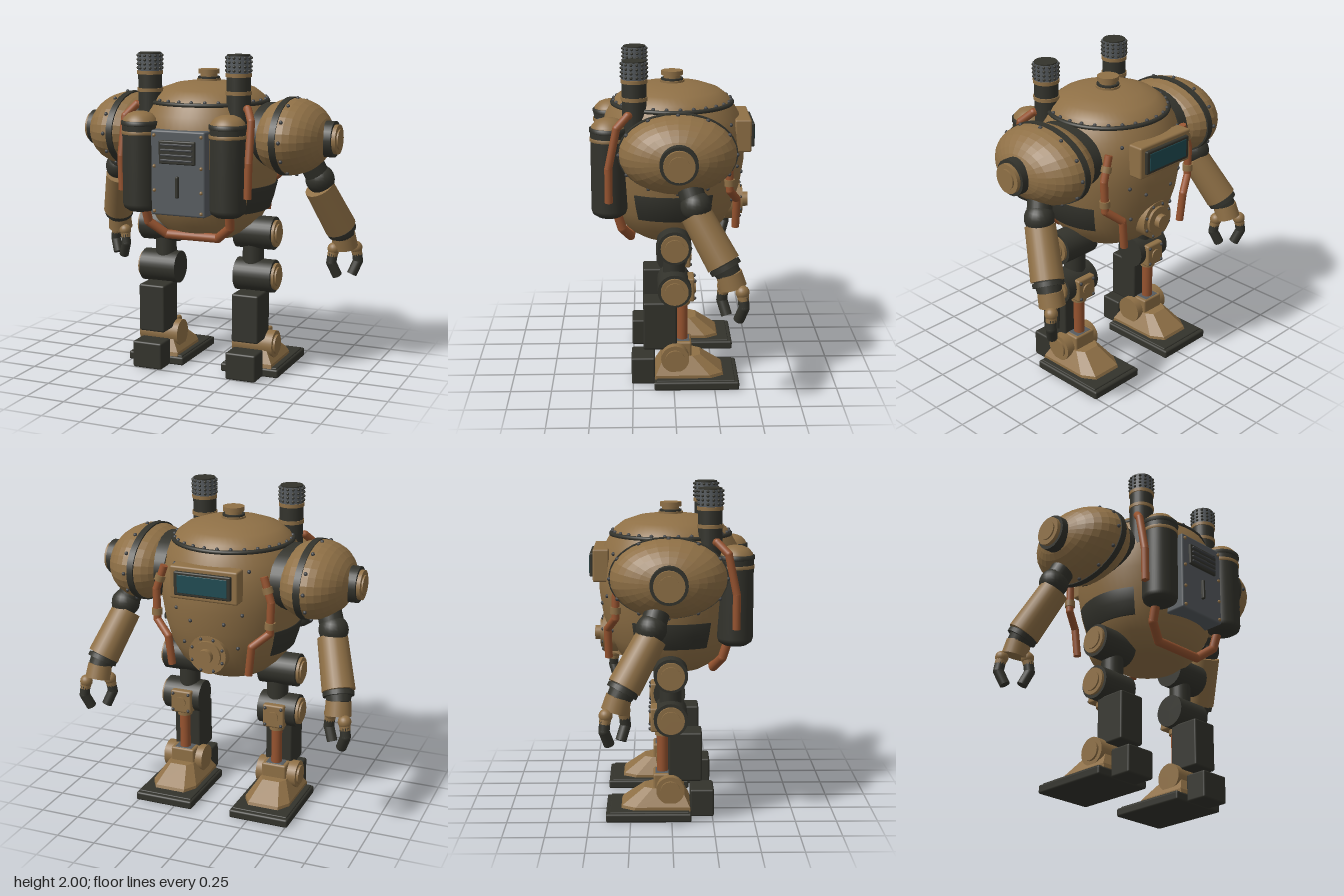
import * as THREE from 'three';
import { RoundedBoxGeometry } from 'three/addons/geometries/RoundedBoxGeometry.js';
import { ConvexGeometry } from 'three/addons/geometries/ConvexGeometry.js';

const mat = (name, color) => Object.assign(new THREE.MeshStandardMaterial({ color }), { name });

export function createModel() {
  const root = new THREE.Group();
  root.name = 'walkerRobot';
  const brass = mat('brass', 0x8f7046), dark = mat('dark iron', 0x33332c), copper = mat('copper', 0x96532f);
  const steel = mat('steel', 0x565b5f), glass = mat('teal glass', 0x1f4b52), stud = mat('stud grey', 0x414345);
  const V = (x, y, z) => new THREE.Vector3(x, y, z);
  const UP = V(0, 1, 0);

  const add = (name, geo, m, x = 0, y = 0, z = 0) => {
    const mesh = new THREE.Mesh(geo, m);
    mesh.name = name;
    mesh.position.set(x, y, z);
    root.add(mesh);
    return mesh;
  };
  const box = (name, m, x, y, z, w, h, d, r = 0.012) =>
    add(name, new RoundedBoxGeometry(w, h, d, 2, r), m, x, y, z);
  // Cylinder from point a to point b
  const rod = (name, m, a, b, r0, r1 = r0, seg = 24) => {
    const mid = a.clone().add(b).multiplyScalar(0.5);
    const mesh = add(name, new THREE.CylinderGeometry(r1, r0, a.distanceTo(b), seg), m, mid.x, mid.y, mid.z);
    mesh.quaternion.setFromUnitVectors(UP, b.clone().sub(a).normalize());
    return mesh;
  };
  const ball = (name, m, p, r) => add(name, new THREE.SphereGeometry(r, 20, 14), m, p.x, p.y, p.z);
  const rivet = (x, y, z, m = stud, r = 0.012) => add('rivet', new THREE.SphereGeometry(r, 8, 6), m, x, y, z);
  // Pipe with straight runs and round elbows
  const pipe = (name, m, pts, r) => pts.forEach((p, i) => {
    if (i) rod(name, m, pts[i - 1], p, r, r, 14);
    if (i && i < pts.length - 1) ball(name + 'Elbow', m, p, r);
  });
  const lathe = (name, m, pts, start = 0, len = Math.PI * 2) =>
    add(name, new THREE.LatheGeometry(pts.map(([r, y]) => new THREE.Vector2(r, y)), 56, start, len), m);
  const flat = (geo) => {
    const g = geo.toNonIndexed();
    g.computeVertexNormals();
    return g;
  };

  // Hull, lid and cap
  lathe('hull', brass, [[0, 0.86], [0.2, 0.862], [0.265, 0.9], [0.325, 0.96], [0.38, 1.06], [0.42, 1.2],
    [0.442, 1.34], [0.447, 1.44], [0.437, 1.54], [0.41, 1.63], [0.37, 1.7]]);
  lathe('lid', brass, [[0.365, 1.7], [0.345, 1.735], [0.29, 1.777], [0.2, 1.808], [0.1, 1.822], [0, 1.826]]);
  add('lidRim', new THREE.TorusGeometry(0.366, 0.014, 10, 56), dark, 0, 1.7, 0).rotation.x = Math.PI / 2;
  for (let i = 0; i < 28; i++) {
    const a = (i + 0.5) / 28 * Math.PI * 2;
    rivet(0.36 * Math.sin(a), 1.716, 0.36 * Math.cos(a));
  }
  rod('capBase', brass, V(0, 1.81, 0), V(0, 1.835, 0), 0.075);
  rod('capRing', dark, V(0, 1.835, 0), V(0, 1.847, 0), 0.068);
  rod('capNeck', brass, V(0, 1.845, 0), V(0, 1.87, 0), 0.052);
  rod('capTop', brass, V(0, 1.865, 0), V(0, 1.892, 0), 0.066);

  // Visor on the -z side
  box('visorFrame', brass, 0, 1.525, -0.425, 0.43, 0.2, 0.1);
  box('visorBezel', dark, 0, 1.525, -0.475, 0.36, 0.145, 0.04, 0.008);
  box('visorGlass', glass, 0, 1.525, -0.494, 0.315, 0.11, 0.008, 0.003);

  // Round hatch below the visor
  rod('hatchFlange', brass, V(0, 1.075, -0.33), V(0, 1.075, -0.42), 0.12);
  rod('hatchRing', brass, V(0, 1.075, -0.4), V(0, 1.075, -0.437), 0.09);
  rod('hatchHub', brass, V(0, 1.075, -0.42), V(0, 1.075, -0.472), 0.045);
  for (let i = 0; i < 8; i++) {
    const a = (i + 0.5) / 8 * Math.PI * 2;
    rivet(0.105 * Math.cos(a), 1.075 + 0.105 * Math.sin(a), -0.422, stud, 0.01);
  }

  // Steel service panel with vent and handle
  box('panel', steel, 0, 1.305, 0.4, 0.35, 0.51, 0.14);
  box('ventRecess', dark, 0, 1.432, 0.47, 0.235, 0.14, 0.03, 0.008);
  for (let i = 0; i < 4; i++) box('ventSlat', stud, 0, 1.386 + i * 0.031, 0.487, 0.205, 0.012, 0.02, 0.004);
  box('handle', dark, 0, 1.225, 0.475, 0.02, 0.13, 0.03, 0.008);
  for (const x of [-0.152, 0.152]) for (const y of [1.075, 1.2, 1.345, 1.53]) rivet(x, y, 0.472, brass, 0.011);

  // Copper loop under the panel
  pipe('lowerLoop', copper, [V(-0.28, 1.1, 0.35), V(-0.27, 0.97, 0.31), V(-0.17, 0.89, 0.26),
    V(0.17, 0.89, 0.26), V(0.27, 0.97, 0.31), V(0.28, 1.1, 0.35)], 0.028);

  for (const s of [-1, 1]) {
    const P = (x, y, z) => V(x * s, y, z);

    // Tank
    const tank = (name, m, pts) => lathe(name, m, pts).position.set(0.285 * s, 0, 0.385);
    tank('tank', dark, [[0, 1.05], [0.07, 1.055], [0.1, 1.075], [0.108, 1.1], [0.108, 1.59]]);
    tank('tankDome', brass, [[0.108, 1.585], [0.1, 1.615], [0.075, 1.642], [0.04, 1.656], [0, 1.66]]);
    tank('tankBand', brass, [[0.107, 1.523], [0.113, 1.523], [0.113, 1.543], [0.107, 1.543]]);
    tank('tankCollar', dark, [[0.107, 1.575], [0.114, 1.578], [0.114, 1.6], [0.1, 1.604]]);

    // Exhaust stack with studded tip
    rod('stack', dark, P(0.29, 1.5, 0.23), P(0.29, 1.9, 0.23), 0.073);
    for (const y of [1.775, 1.88]) rod('stackBand', brass, P(0.29, y - 0.011, 0.23), P(0.29, y + 0.011, 0.23), 0.079);
    rod('stackTip', steel, P(0.29, 1.89, 0.23), P(0.29, 1.992, 0.23), 0.075);
    rod('stackMouth', dark, P(0.29, 1.985, 0.23), P(0.29, 2, 0.23), 0.07);
    for (let j = 0; j < 4; j++) for (let i = 0; i < 14; i++) {
      const a = i / 14 * Math.PI * 2;
      rivet(0.29 * s + 0.075 * Math.sin(a), 1.907 + j * 0.025, 0.23 + 0.075 * Math.cos(a), dark, 0.009);
    }

    // Copper side pipes
    pipe('stackPipe', copper, [P(0.31, 1.68, 0.24), P(0.365, 1.685, 0.27), P(0.41, 1.62, 0.335),
      P(0.415, 1.38, 0.385), P(0.41, 1.17, 0.385)], 0.024);
    pipe('rearPipe', copper, [P(0.32, 1.57, -0.32), P(0.37, 1.42, -0.33), P(0.365, 1.23, -0.335),
      P(0.27, 1.15, -0.385), P(0.25, 0.97, -0.38)], 0.024);
    rod('pipeClamp', brass, P(0.367, 1.3, -0.333), P(0.366, 1.26, -0.334), 0.032);
    rod('pipeClamp', brass, P(0.34, 1.51, -0.325), P(0.352, 1.475, -0.327), 0.032);

    // Dark plate wrapped on the hull side
    lathe('hullPlate', dark, [[0.372, 1.04], [0.386, 1.04], [0.412, 1.12], [0.431, 1.2], [0.415, 1.2]],
      s * Math.PI / 2 - 0.58, 1.16);

    // Shoulder
    const socket = rod('shoulderSocket', dark, P(0.34, 1.5, -0.02), P(0.46, 1.5, -0.02), 0.2, 0.2, 32);
    socket.scale.z = 1.35;
    const dome = new THREE.SphereGeometry(1, 28, 18);
    dome.rotateZ(Math.PI / 2);
    dome.scale(0.235, 0.232, 0.342);
    add('shoulderShell', flat(dome), brass, 0.55 * s, 1.5, -0.02);
    const band = rod('shoulderBand', dark, P(0.512, 1.5, -0.02), P(0.552, 1.5, -0.02), 0.237, 0.237, 48);
    band.scale.z = 0.348 / 0.237;
    for (let i = 0; i < 12; i++) {
      const a = i / 12 * Math.PI * 2;
      rivet(0.573 * s, 1.5 + 0.232 * Math.cos(a), -0.02 + 0.342 * Math.sin(a));
    }
    rod('shoulderHub', dark, P(0.74, 1.495, -0.02), P(0.815, 1.495, -0.02), 0.11);
    rod('hubCap', brass, P(0.81, 1.495, -0.02), P(0.838, 1.495, -0.02), 0.09);
    rod('hubButton', brass, P(0.83, 1.495, -0.02), P(0.847, 1.495, -0.02), 0.06);

    // Arm
    rod('upperArm', dark, P(0.62, 1.4, -0.06), P(0.69, 1.22, -0.12), 0.075);
    ball('elbow', dark, P(0.69, 1.23, -0.12), 0.09);
    rod('forearm', brass, P(0.685, 1.18, -0.12), P(0.78, 0.91, -0.275), 0.092, 0.1);
    rod('wrist', dark, P(0.77, 0.93, -0.26), P(0.795, 0.845, -0.31), 0.086, 0.07);
    rod('wristRing', dark, P(0.779, 0.905, -0.278), P(0.786, 0.882, -0.291), 0.094);
    rod('palm', brass, P(0.79, 0.86, -0.305), P(0.797, 0.775, -0.33), 0.075, 0.08);

    // Two curved claws on opposite corners of the palm
    for (const k of [-1, 1]) {
      const F = (d, y) => P(0.795 + k * d, y, -0.33 - k * d * 0.85);
      ball('knuckle', brass, F(0.058, 0.765), 0.04);
      rod('fingerBase', brass, F(0.055, 0.775), F(0.066, 0.715), 0.036, 0.032, 12);
      pipe('claw', dark, [F(0.063, 0.735), F(0.07, 0.675), F(0.038, 0.59)], 0.032);
    }

    // Hip and knee drums
    for (const [name, y] of [['hip', 0.893], ['knee', 0.62]]) {
      rod(name + 'Drum', dark, P(0.2, y, -0.005), P(0.445, y, -0.005), 0.103, 0.103, 28);
      rod(name + 'Cap', brass, P(0.44, y, -0.005), P(0.462, y, -0.005), 0.084);
      rod(name + 'Button', brass, P(0.455, y, -0.005), P(0.472, y, -0.005), 0.06);
    }
    rod('thigh', dark, P(0.3, 0.62, -0.005), P(0.3, 0.9, -0.005), 0.067);

    // Riveted knee bracket
    box('kneeBracket', brass, 0.315 * s, 0.605, -0.09, 0.14, 0.15, 0.075);
    for (const x of [0.262, 0.368]) for (const y of [0.55, 0.66]) rivet(x * s, y, -0.129, stud, 0.011);
    rod('bracketHub', brass, P(0.315, 0.605, -0.12), P(0.315, 0.605, -0.137), 0.035);

    // Shin and piston
    box('shin', dark, 0.317 * s, 0.378, 0.083, 0.175, 0.305, 0.205);
    rod('piston', copper, P(0.317, 0.22, -0.055), P(0.317, 0.55, -0.055), 0.034);
    rod('pistonCollar', brass, P(0.317, 0.5, -0.055), P(0.317, 0.54, -0.055), 0.047);
    box('shinFoot', steel, 0.317 * s, 0.262, 0.0, 0.12, 0.02, 0.2, 0.006);

    // Ankle
    rod('ankle', brass, P(0.19, 0.182, -0.008), P(0.455, 0.182, -0.008), 0.086, 0.086, 28);
    rod('ankleCap', brass, P(0.45, 0.182, -0.008), P(0.468, 0.182, -0.008), 0.06);
    box('ankleBlock', brass, 0.317 * s, 0.215, -0.045, 0.16, 0.11, 0.13);

    // Faceted foot cover
    const corners = [];
    for (const [w, z0, z1, y, c] of [[0.148, -0.31, 0.115, 0.055, 0.05], [0.148, -0.3, 0.11, 0.08, 0.05],
      [0.085, -0.165, 0.06, 0.182, 0.03]]) {
      for (const k of [-1, 1]) corners.push(V(k * w, y, z1), V(k * w, y, z0 + c * 1.6), V(k * (w - c), y, z0));
    }
    add('footCover', new ConvexGeometry(corners), brass, 0.32 * s, 0, 0);

    // Sole and heel
    box('sole', dark, 0.322 * s, 0.027, -0.14, 0.385, 0.054, 0.52);
    box('soleTop', dark, 0.322 * s, 0.052, -0.135, 0.36, 0.02, 0.48, 0.006);
    box('heel', dark, 0.317 * s, 0.088, 0.187, 0.198, 0.172, 0.145);

    // Loose hull rivets
    for (const [a, y, r] of [[0.25, 1.28, 0.434], [0.5, 1.34, 0.442], [0.45, 1.12, 0.4], [0.6, 1.6, 0.421]]) {
      rivet(s * r * Math.sin(a), y, -r * Math.cos(a));
    }
  }
  return root;
}
